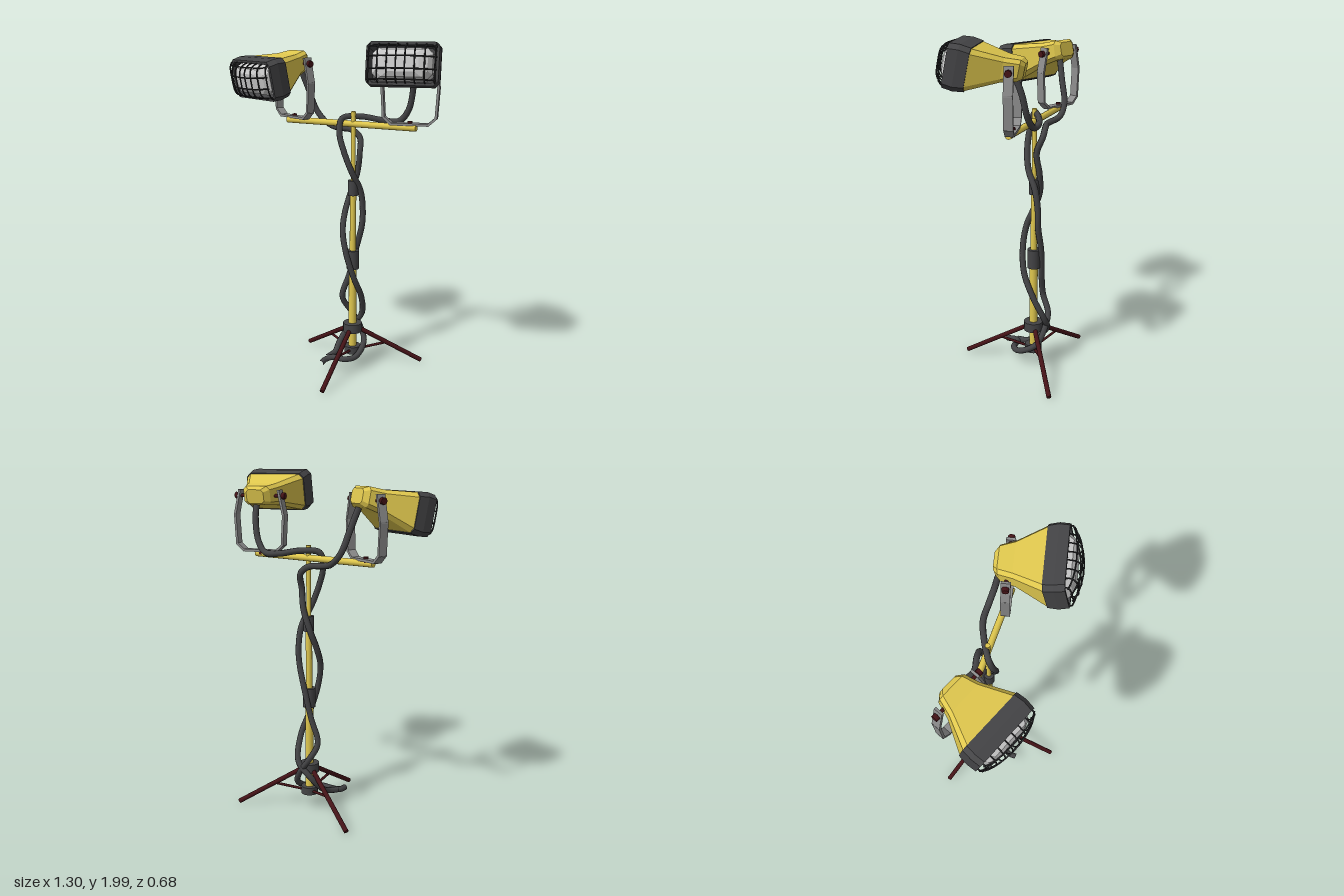
import * as THREE from 'three';

const mat = (color, extra = {}) => new THREE.MeshStandardMaterial({ color, ...extra });
const yellow = mat(0xe0c84e), yellowFlat = mat(0xe0c84e, { flatShading: true });
const dark = mat(0x444446), darkFlat = mat(0x444446, { flatShading: true, side: THREE.DoubleSide });
const black = mat(0x2c2c2e), red = mat(0x451317), steel = mat(0x8c8c8c), glass = mat(0xcccccc);
const V = (x, y, z) => new THREE.Vector3(x, y, z);

function add(parent, name, geometry, material, pos) {
  const mesh = new THREE.Mesh(geometry, material);
  mesh.name = name;
  if (pos) mesh.position.copy(pos);
  parent.add(mesh);
  return mesh;
}

// Align a mesh's y axis with the line a-b
function span(mesh, a, b) {
  mesh.position.copy(a).add(b).multiplyScalar(0.5);
  mesh.quaternion.setFromUnitVectors(V(0, 1, 0), b.clone().sub(a).normalize());
  return mesh;
}
const rod = (parent, name, a, b, r, material, sides = 12) =>
  span(add(parent, name, new THREE.CylinderGeometry(r, r, a.distanceTo(b), sides), material), a, b);
const tube = (parent, name, pts, r, material, steps, sides = 8) =>
  add(parent, name, new THREE.TubeGeometry(new THREE.CatmullRomCurve3(pts), steps, r, sides), material);

// Loft of chamfered rectangles; each section is [z, halfWidth, halfHeight, chamfer, centreY]
function loft(sections, capBack, capFront) {
  const pos = [], index = [];
  sections.forEach(([z, w, h, c, y = 0]) => {
    [[w, c - h], [w, h - c], [w - c, h], [c - w, h], [-w, h - c], [-w, c - h], [c - w, -h], [w - c, -h]]
      .forEach(p => pos.push(p[0], p[1] + y, z));
  });
  const last = (sections.length - 1) * 8;
  for (let i = 0; i < last; i += 8) {
    for (let j = 0; j < 8; j++) {
      const k = (j + 1) % 8;
      index.push(i + j, i + k, i + 8 + k, i + j, i + 8 + k, i + 8 + j);
    }
  }
  for (let j = 1; j < 7; j++) {
    if (capBack) index.push(0, j + 1, j);
    if (capFront) index.push(last, last + j, last + j + 1);
  }
  const g = new THREE.BufferGeometry();
  g.setAttribute('position', new THREE.Float32BufferAttribute(pos, 3));
  g.setIndex(index);
  const flat = g.toNonIndexed();
  flat.computeVertexNormals();
  return flat;
}

// Lamp head with housing, bezel, lens and wire guard; the pivot is the origin
function lampHead() {
  const head = new THREE.Group();
  head.name = 'lampHead';
  add(head, 'housing', loft([
    [-0.065, 0.055, 0.04, 0.015, 0.01], [-0.04, 0.085, 0.055, 0.02, 0.01],
    [0.04, 0.108, 0.063, 0.02, 0], [0.2, 0.186, 0.106, 0.025, -0.025],
  ], true, false), yellowFlat);
  add(head, 'bezel', loft([
    [0.198, 0.18, 0.1, 0.02, -0.025], [0.198, 0.19, 0.11, 0.025, -0.025],
    [0.255, 0.195, 0.117, 0.025, -0.025], [0.31, 0.19, 0.112, 0.025, -0.025],
    [0.31, 0.175, 0.097, 0.02, -0.025], [0.235, 0.165, 0.088, 0.02, -0.025],
  ], false, true), darkFlat);
  add(head, 'lens', loft([
    [0.23, 0.16, 0.084, 0.03, -0.025], [0.3, 0.158, 0.082, 0.03, -0.025],
    [0.33, 0.135, 0.07, 0.03, -0.025], [0.345, 0.09, 0.045, 0.02, -0.025],
  ], false, true), glass);

  // Domed guard: bars follow one bulging surface
  const guard = new THREE.Group();
  guard.name = 'wireGuard';
  head.add(guard);
  const W = 0.18, H = 0.1;
  const dome = (u, v) => V(u * W, v * H - 0.025,
    0.3 + 0.075 * Math.sqrt(Math.max(0, 1 - u * u * 0.85)) * Math.pow(Math.max(0, 1 - v ** 4), 0.5));
  const steps = Array.from({ length: 13 }, (_, i) => Math.sin((i / 6 - 1) * Math.PI / 2));
  for (const u of [-0.96, -0.68, -0.4, -0.13, 0.13, 0.4, 0.68, 0.96])
    tube(guard, 'verticalBar', steps.map(v => dome(u, v)), 0.0042, black, 24, 6);
  for (const v of [-0.85, -0.32, 0.32, 0.85])
    tube(guard, 'horizontalBar', steps.map(u => dome(u, v)), 0.0042, black, 24, 6);
  return head;
}

// Yoke bent from flat strip, with pivot bolts; the pivot is the origin
function yoke() {
  const g = new THREE.Group();
  g.name = 'yoke';
  const half = [[0, -0.318], [0.105, -0.318], [0.148, -0.28], [0.158, -0.11], [0.126, 0.03]];
  for (const s of [-1, 1]) {
    for (let i = 0; i < 4; i++) {
      const a = V(s * half[i][0], half[i][1], 0), b = V(s * half[i + 1][0], half[i + 1][1], 0);
      span(add(g, 'yokeStrip', new THREE.BoxGeometry(0.014, a.distanceTo(b) + 0.008, 0.05), steel), a, b);
    }
    rod(g, 'pivotBolt', V(s * 0.08, 0, 0), V(s * 0.155, 0, 0), 0.01, red);
    rod(g, 'pivotKnob', V(s * 0.14, 0, 0), V(s * 0.162, 0, 0), 0.019, red, 8);
  }
  rod(g, 'yokeBolt', V(0, -0.34, 0), V(0, -0.3, 0), 0.014, red, 8);
  return g;
}

export function createModel() {
  const model = new THREE.Group();
  model.name = 'workLightStand';
  const X = 0.04, Z = -0.1;

  // Telescoping mast: [name, bottom, top, radius, material]
  for (const [name, y0, y1, r, m] of [
    ['lowerMast', 0.08, 0.7, 0.024, yellow], ['middleMast', 0.7, 1.14, 0.019, yellow],
    ['upperMast', 1.14, 1.585, 0.014, yellow], ['upperCollar', 1.09, 1.18, 0.031, dark],
    ['middleCollar', 0.635, 0.75, 0.038, dark], ['legHub', 0.23, 0.285, 0.058, dark],
    ['braceHub', 0.09, 0.135, 0.05, dark],
  ]) rod(model, name, V(X, y0, Z), V(X, y1, Z), r, m, 16);
  rod(model, 'crossbar', V(-0.4, 1.513, Z), V(0.43, 1.513, Z), 0.019, yellow, 12);

  // Tripod legs and braces
  for (const [x, z] of [[-0.355, -0.27], [0.405, -0.33], [0.056, 0.333]]) {
    const foot = V(x, 0.016, z);
    const top = V(X, 0.25, Z).lerp(V(x, 0.25, z), 0.08);
    const low = V(X, 0.11, Z).lerp(V(x, 0.11, z), 0.08);
    rod(model, 'leg', top, foot, 0.014, red, 10);
    rod(model, 'legBrace', low, top.clone().lerp(foot, 0.45), 0.008, red, 8);
  }

  // Two lamps: [x, z, yaw, tilt]
  for (const [side, x, z, yaw, tilt] of [
    ['left', 0.387, -0.108, 0.23, -0.2], ['right', -0.355, -0.105, -0.385, 0.2],
  ]) {
    const lamp = new THREE.Group();
    lamp.name = side + 'Lamp';
    lamp.position.set(x, 1.85, z);
    lamp.rotation.y = yaw;
    const head = lampHead();
    head.rotation.x = tilt;
    lamp.add(yoke(), head);
    model.add(lamp);
  }

  // Power cables twisting down the mast
  tube(model, 'leftCable', [
    V(0.4, 1.83, -0.12), V(0.385, 1.73, -0.155), V(0.35, 1.6, -0.175), V(0.29, 1.535, -0.185),
    V(0.19, 1.535, -0.18), V(0.07, 1.555, -0.13), V(-0.02, 1.545, -0.075), V(-0.025, 1.46, -0.05),
    V(0.005, 1.36, -0.045), V(0.045, 1.24, -0.065), V(0.078, 1.12, -0.12), V(0.085, 1, -0.14),
    V(0.08, 0.9, -0.14), V(0.04, 0.75, -0.145), V(0, 0.58, -0.135), V(-0.045, 0.43, -0.13),
    V(-0.01, 0.33, -0.175), V(0.05, 0.25, -0.175), V(0.1, 0.16, -0.14), V(0.095, 0.095, -0.03),
    V(0.05, 0.09, 0.025), V(-0.03, 0.09, 0.03), V(-0.065, 0.08, 0.06), V(-0.068, 0.075, 0.115),
  ], 0.018, dark, 220);
  tube(model, 'rightCable', [
    V(-0.325, 1.83, -0.12), V(-0.285, 1.7, -0.15), V(-0.245, 1.57, -0.18), V(-0.18, 1.505, -0.175),
    V(-0.08, 1.48, -0.135), V(0.0, 1.472, -0.15), V(0.055, 1.43, -0.155), V(0.07, 1.34, -0.125),
    V(0.05, 1.22, -0.135), V(0.012, 1.1, -0.125), V(-0.005, 0.98, -0.08), V(0.002, 0.88, -0.04),
    V(0.03, 0.75, -0.027), V(0.068, 0.6, -0.05), V(0.09, 0.45, -0.12), V(0.06, 0.31, -0.18),
    V(-0.02, 0.22, -0.165), V(-0.05, 0.14, -0.1), V(-0.045, 0.1, -0.03), V(-0.065, 0.085, 0.04),
  ], 0.018, dark, 200);
  return model;
}
